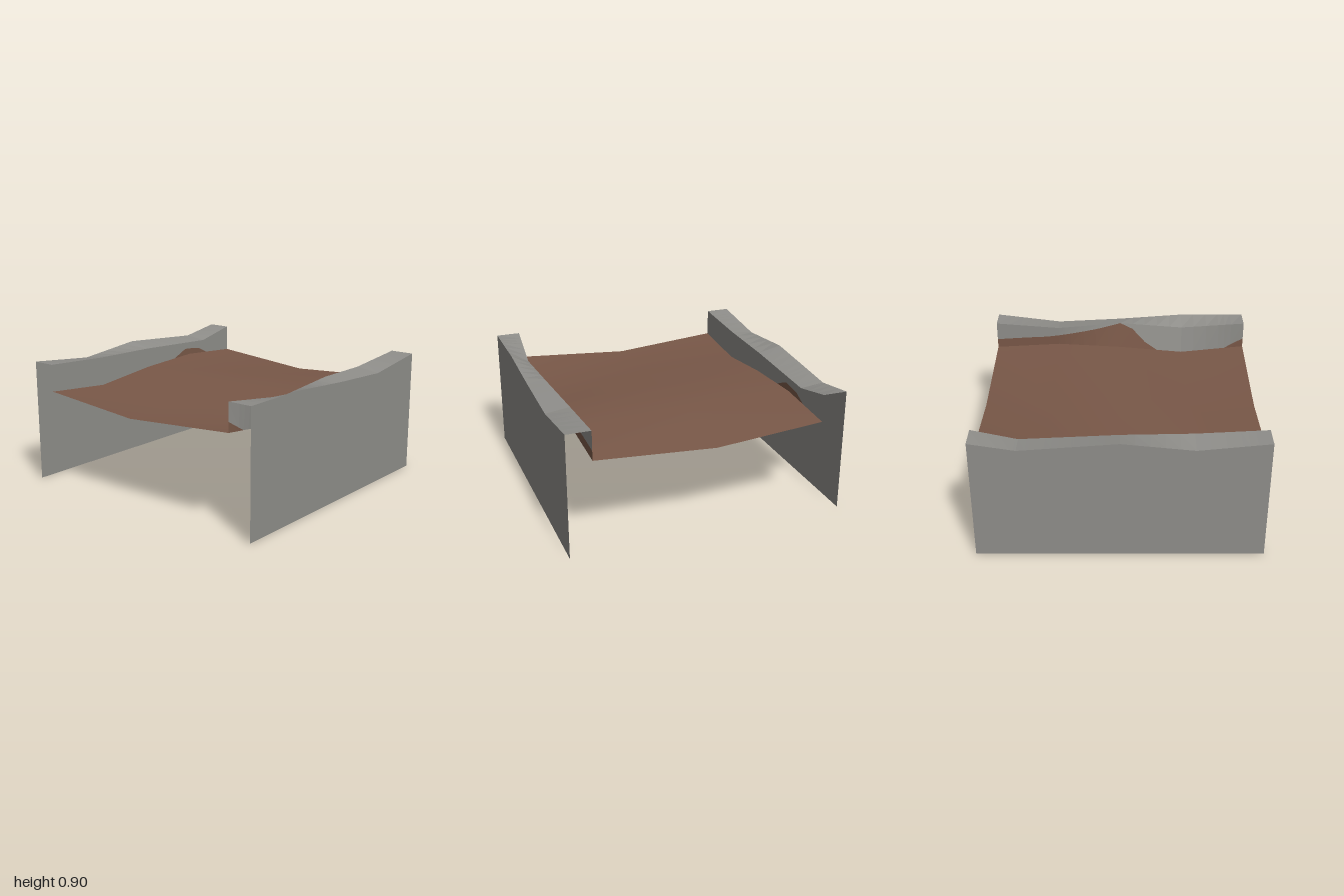
import * as THREE from 'three';

const stone = new THREE.MeshStandardMaterial({ color: 0x8f8e8a, side: THREE.DoubleSide });
stone.name = 'grey stone';
const earth = new THREE.MeshStandardMaterial({ color: 0x795848, side: THREE.DoubleSide });
earth.name = 'brown earth';

// Piecewise linear value along z, keys ordered from z = -1 to z = 1
function along(keys, z) {
  for (let i = 1; i < keys.length; i++) {
    const [z0, v0] = keys[i - 1], [z1, v1] = keys[i];
    if (z <= z1) return v0 + (v1 - v0) * (z - z0) / (z1 - z0);
  }
  return keys[keys.length - 1][1];
}

// Skin a sheet through rows of points; each row runs from -z to +z
function sheet(name, material, rows, flip = false, smooth = false) {
  const n = rows[0].length, pos = rows.flat(2), index = [];
  for (let r = 0; r + 1 < rows.length; r++) {
    for (let i = 0; i + 1 < n; i++) {
      const a = r * n + i, b = a + 1, c = a + n, d = c + 1;
      if (flip) index.push(a, c, b, b, c, d);
      else index.push(a, b, c, b, d, c);
    }
  }
  let geo = new THREE.BufferGeometry();
  geo.setAttribute('position', new THREE.Float32BufferAttribute(pos, 3));
  geo.setIndex(index);
  if (!smooth) geo = geo.toNonIndexed();
  geo.computeVertexNormals();
  const mesh = new THREE.Mesh(geo, material);
  mesh.name = name;
  return mesh;
}

// Height of the stream bed at its two edges and its middle
const bed = {
  right: [[-1, 0.7], [-0.5, 0.737], [0, 0.712], [0.5, 0.657], [1, 0.7]],
  middle: [[-1, 0.635], [-0.5, 0.685], [0, 0.716], [0.5, 0.645], [1, 0.635]],
  left: [[-1, 0.69], [-0.5, 0.718], [0, 0.69], [0.5, 0.645], [1, 0.697]],
};

// Bank profiles: outer and inner rim heights, inner rim position, earth cover share
const banks = {
  left: {
    side: 1,
    outer: [[-1, 0.9], [-0.5, 0.837], [0, 0.863], [0.5, 0.9], [1, 0.9]],
    inner: [[-1, 0.9], [-0.5, 0.86], [0, 0.882], [0.5, 0.843], [1, 0.9]],
    rimX: [[-1, 0.825], [-0.5, 0.825], [0, 0.872], [0.5, 0.872], [1, 0.825]],
    cover: [[-1, 0.33], [-0.6, 0.45], [-0.2, 0.8], [0, 1], [0.1, 0.8], [0.2, 0.3], [0.3, 0], [0.85, 0], [1, 0.35]],
  },
  right: {
    side: -1,
    outer: [[-1, 0.9], [-0.68, 0.847], [0, 0.9], [0.5, 0.848], [1, 0.9]],
    inner: [[-1, 0.9], [-0.68, 0.828], [0, 0.862], [0.5, 0.872], [1, 0.9]],
    rimX: [[-1, 0.825], [1, 0.825]],
    cover: [[-1, 0], [-0.72, 0], [-0.62, 0.4], [-0.45, 0.5], [-0.32, 0], [1, 0]],
  },
};

// Sample stations along z, including every profile break
const stations = [];
for (let i = 0; i <= 20; i++) stations.push(-1 + i * 0.1);
stations.push(-0.68, -0.72, -0.62, -0.45, -0.32, 0.85);
stations.sort((a, b) => a - b);

function createBank(label) {
  const b = banks[label], s = b.side, flip = s < 0;
  const group = new THREE.Group();
  group.name = label + 'Bank';
  const row = (f) => stations.map(f);
  const base = row((z) => [s, 0, z]);
  const outerRim = row((z) => [s, along(b.outer, z), z]);
  const innerRim = row((z) => [s * along(b.rimX, z), along(b.inner, z), z]);
  const foot = row((z) => [s * 0.825, along(bed[label], z), z]);
  // Line on the inner wall where the earth cover ends
  const coverLine = stations.map((z, i) => {
    const t = along(b.cover, z);
    return foot[i].map((v, k) => v + (innerRim[i][k] - v) * t);
  });
  group.add(
    sheet('outerWall', stone, [base, outerRim], !flip),
    sheet('bankTop', stone, [outerRim, innerRim], !flip),
    sheet('innerWall', stone, [innerRim, coverLine], !flip),
    sheet('earthCover', earth, [coverLine, foot], !flip),
  );
  return group;
}

export function createModel() {
  const model = new THREE.Group();
  model.name = 'streamBed';
  // Uneven earth floor between the banks
  const floorRows = [['right', -0.825], ['middle', -0.04], ['left', 0.825]].map(([key, x]) =>
    bed[key].map(([z, y]) => [x, y, z]));
  model.add(sheet('earthFloor', earth, floorRows, false, true));
  // Stone banks on both sides
  model.add(createBank('left'), createBank('right'));
  return model;
}
